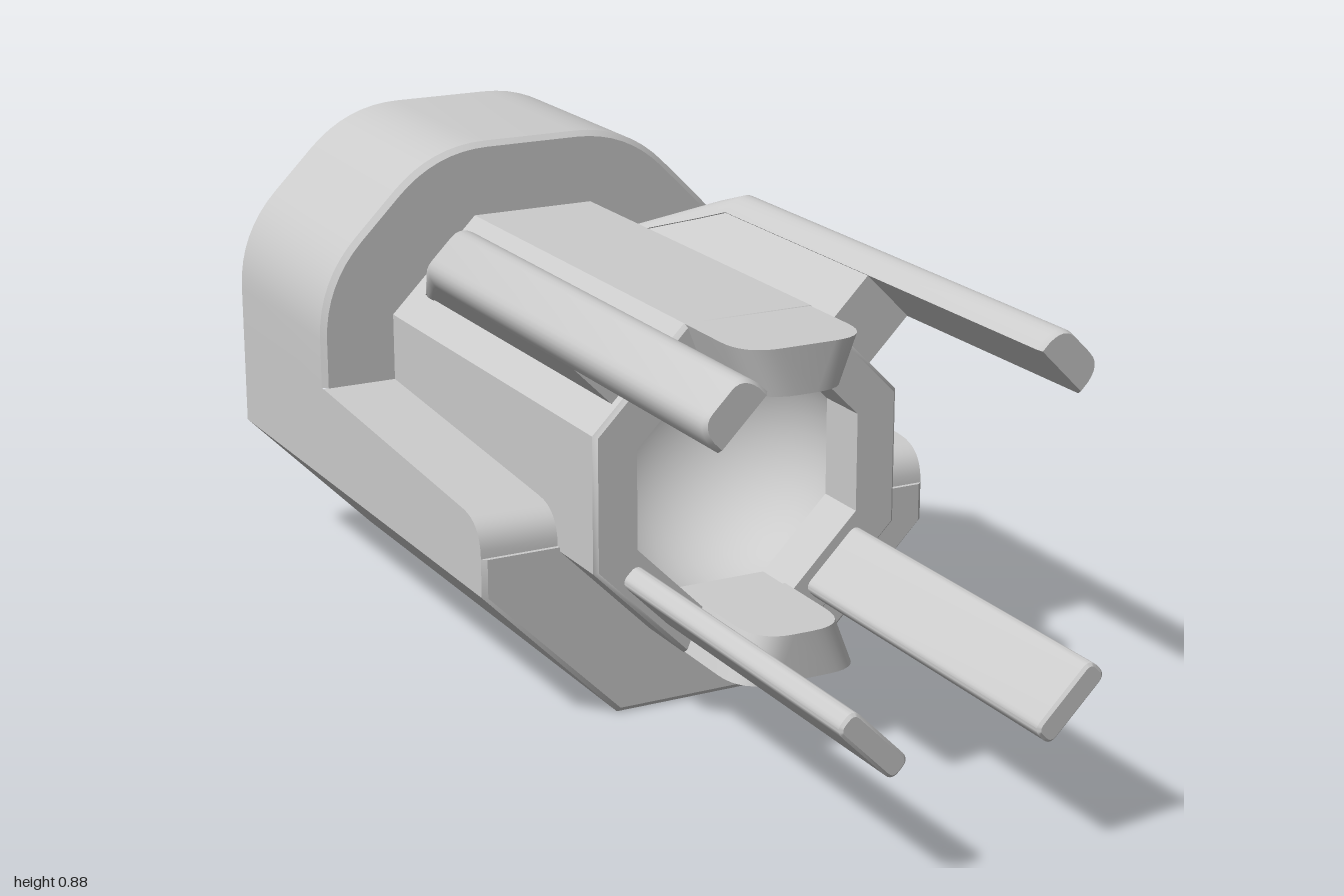
import * as THREE from 'three';
import { toCreasedNormals } from 'three/addons/utils/BufferGeometryUtils.js';

const MAT = new THREE.MeshStandardMaterial({ color: 0xcccccc, side: THREE.DoubleSide });
const CY = 0.445; // height of the barrel axis

function add(parent, name, geometry) {
  const mesh = new THREE.Mesh(geometry, MAT);
  mesh.name = name;
  parent.add(mesh);
  return mesh;
}

// Skin between sections, each a list of [x, y, z]; optionally closed around and capped
function loft(sections, closed = false, capped = false) {
  const rows = sections.slice();
  if (capped) {
    const collapse = (s) => {
      const c = [0, 1, 2].map((k) => s.reduce((sum, p) => sum + p[k], 0) / s.length);
      return s.map(() => c);
    };
    rows.unshift(collapse(sections[0]));
    rows.push(collapse(sections[sections.length - 1]));
  }
  const pos = [];
  const tri = (...t) => {
    const [a, b, c] = t.map((p) => new THREE.Vector3(...p));
    if (b.sub(a).cross(c.sub(a)).length() > 1e-9) t.forEach((p) => pos.push(...p));
  };
  for (let i = 0; i < rows.length - 1; i++) {
    const n = rows[i].length;
    for (let j = 0; j < (closed ? n : n - 1); j++) {
      const k = (j + 1) % n;
      const a = rows[i][j], b = rows[i][k], c = rows[i + 1][k], d = rows[i + 1][j];
      tri(a, b, c);
      tri(a, c, d);
    }
  }
  const g = new THREE.BufferGeometry();
  g.setAttribute('position', new THREE.Float32BufferAttribute(pos, 3));
  return toCreasedNormals(g, 0.6);
}

const at = (pts, z) => pts.map(([x, y]) => [x, y, z]);
const mirrored = (half) => half.concat(half.slice().reverse().map(([x, y]) => [-x, y]));
const inset = (pts, s, cy) => pts.map(([x, y]) => [x * s, cy + (y - cy) * s]);
const toShape = (pts) => new THREE.Shape(pts.map(([x, y]) => new THREE.Vector2(x, y)));
const plate = (pts, z) => new THREE.ShapeGeometry(toShape(pts)).translate(0, 0, z);

// Quadratic corner as a list of points
function corner(a, c, b, n = 8) {
  const v = (p) => new THREE.Vector2(p[0], p[1]);
  return new THREE.QuadraticBezierCurve(v(a), v(c), v(b)).getPoints(n).map((p) => [p.x, p.y]);
}

// Octagon with flat sides up, apothem a
function octagon(a) {
  const t = a * Math.tan(Math.PI / 8);
  return [[a, -t], [a, t], [t, a], [-t, a], [-a, t], [-a, -t], [-t, -a], [t, -a]].map(([x, y]) => [x, y + CY]);
}

function housing(group) {
  // Rear hood: rounded upper arch with a softened front edge
  const arch = mirrored([
    [0.44, 0.44],
    ...corner([0.44, 0.535], [0.44, 0.645], [0.362, 0.723]),
    ...corner([0.283, 0.802], [0.205, 0.88], [0.095, 0.88]),
  ]);
  const lip = inset(arch, 0.977, 0.44);
  add(group, 'rearHood', loft([at(arch, -1), at(arch, -0.58), at(lip, -0.57)]));
  const [, o1, o2, o3, o4] = octagon(0.295);
  add(group, 'hoodFrontPlate', plate([...lip, [-0.295, 0.44], o4, o3, o2, o1, [0.295, 0.44]], -0.57));

  // Faceted lower trough
  const trough = (top) => mirrored([[0.44, top], [0.44, 0.26], [0.183, 0]]);
  add(group, 'rearTrough', loft([at(trough(0.44), -1), at(trough(0.44), -0.57)]));

  // Front trough with sloping shoulders that round over at the front
  const stations = [[-0.57, 0.44], ...corner([0.07, 0.4], [0.14, 0.395], [0.14, 0.33])];
  const withShoulder = (top) => [[0.295, top], ...trough(top), [-0.295, top]];
  const sections = stations.map(([z, top]) => at(withShoulder(top), z));
  const face = withShoulder(0.33).map(([x, y]) => [Math.abs(x) < 0.3 && y > 0.3 ? x : x * 0.98, Math.max(y, 0.009)]);
  sections.push(at(face, 0.148));
  add(group, 'frontTrough', loft(sections));
  const low = octagon(0.295);
  add(group, 'troughFrontPlate', plate([...face, low[5], low[6], low[7], low[0]], 0.148));

  // Barrel: arched tunnel above the shoulders, full octagon at the muzzle
  add(group, 'barrelTunnel', loft(stations.map(([z, top]) =>
    at([[0.295, top], o1, o2, o3, o4, [-0.295, top]], z))));
}

function muzzle(group) {
  const outer = octagon(0.295), edge = octagon(0.288), inner = octagon(0.215);
  add(group, 'muzzle', loft(
    [at(outer, 0.14), at(outer, 0.277), at(edge, 0.285), at(inner, 0.285), at(inner, 0.18)], true));

  // Concave bowl closing the bore
  const bowl = new THREE.SphereGeometry(0.235, 40, 16, 0, Math.PI * 2, 0, Math.PI / 2);
  bowl.rotateX(-Math.PI / 2).translate(0, CY, 0.185);
  add(group, 'boreBowl', bowl);

  // Tapered tongues above and below the bore
  const plan = (w, y) => {
    const half = [[w, 0.26], ...corner([w, 0.4], [w, 0.48], [w - 0.07, 0.48])];
    return mirrored2(half).map(([x, z]) => [x, y, z]);
  };
  const mirrored2 = (half) => half.concat(half.slice().reverse().map(([x, z]) => [-x, z]));
  const tongue = loft([plan(0.088, 0.21), plan(0.121, 0.294)], true, true);
  for (const [name, turn] of [['upperTongue', 0], ['lowerTongue', Math.PI]]) {
    const mesh = add(group, name, tongue);
    mesh.position.y = CY;
    mesh.rotation.z = turn;
  }
}

// Upper prong on its web, built pointing up from the barrel axis
function upperProng(name, angle) {
  const g = new THREE.Group();
  g.name = name;
  const section = (base, height) => mirrored([
    [0.06, base],
    ...corner([0.06, base + height * 0.35], [0.055, base + height], [0.025, base + height], 6),
  ]);
  add(g, 'prongBar', loft([
    at(inset(section(0.405, 0.06), 0.9, 0.435), 0.785),
    at(section(0.405, 0.06), 0.775),
    at(section(0.405, 0.06), -0.25),
    at(section(0.375, 0.06), -0.31),
    at(section(0.27, 0.03), -0.53),
  ], true, true));
  const side = toShape([[0.26, 0.28], [0.26, 0.42], [-0.25, 0.42], [-0.53, 0.29], [-0.53, 0.28]]);
  const web = new THREE.ExtrudeGeometry(side, { depth: 0.116, bevelEnabled: false });
  web.translate(0, 0, -0.058).rotateY(-Math.PI / 2);
  add(g, 'prongWeb', web);
  g.position.y = CY;
  g.rotation.z = angle;
  return g;
}

// Lower prong: flat rounded bar standing out of the muzzle face
function lowerProng(name, side) {
  const w = 0.072, h = 0.022, r = 0.018;
  const s = new THREE.Shape();
  s.moveTo(-w + r, -h).lineTo(w - r, -h).quadraticCurveTo(w, -h, w, -h + r);
  s.lineTo(w, h - r).quadraticCurveTo(w, h, w - r, h).lineTo(-w + r, h);
  s.quadraticCurveTo(-w, h, -w, h - r).lineTo(-w, -h + r).quadraticCurveTo(-w, -h, -w + r, -h);
  const bar = new THREE.ExtrudeGeometry(s, {
    depth: 0.73, curveSegments: 5, bevelSize: 0.005, bevelThickness: 0.005, bevelOffset: -0.005, bevelSegments: 1,
  });
  const mesh = new THREE.Mesh(toCreasedNormals(bar, 0.6), MAT);
  mesh.name = name;
  mesh.position.set(side * 0.18, 0.265, 0.265);
  mesh.rotation.z = side * Math.PI / 4;
  return mesh;
}

export function createModel() {
  const model = new THREE.Group();
  model.name = 'connectorHousing';
  housing(model);
  muzzle(model);
  model.add(upperProng('leftUpperProng', -Math.PI / 4), upperProng('rightUpperProng', Math.PI / 4));
  model.add(lowerProng('leftLowerProng', 1), lowerProng('rightLowerProng', -1));
  return model;
}
